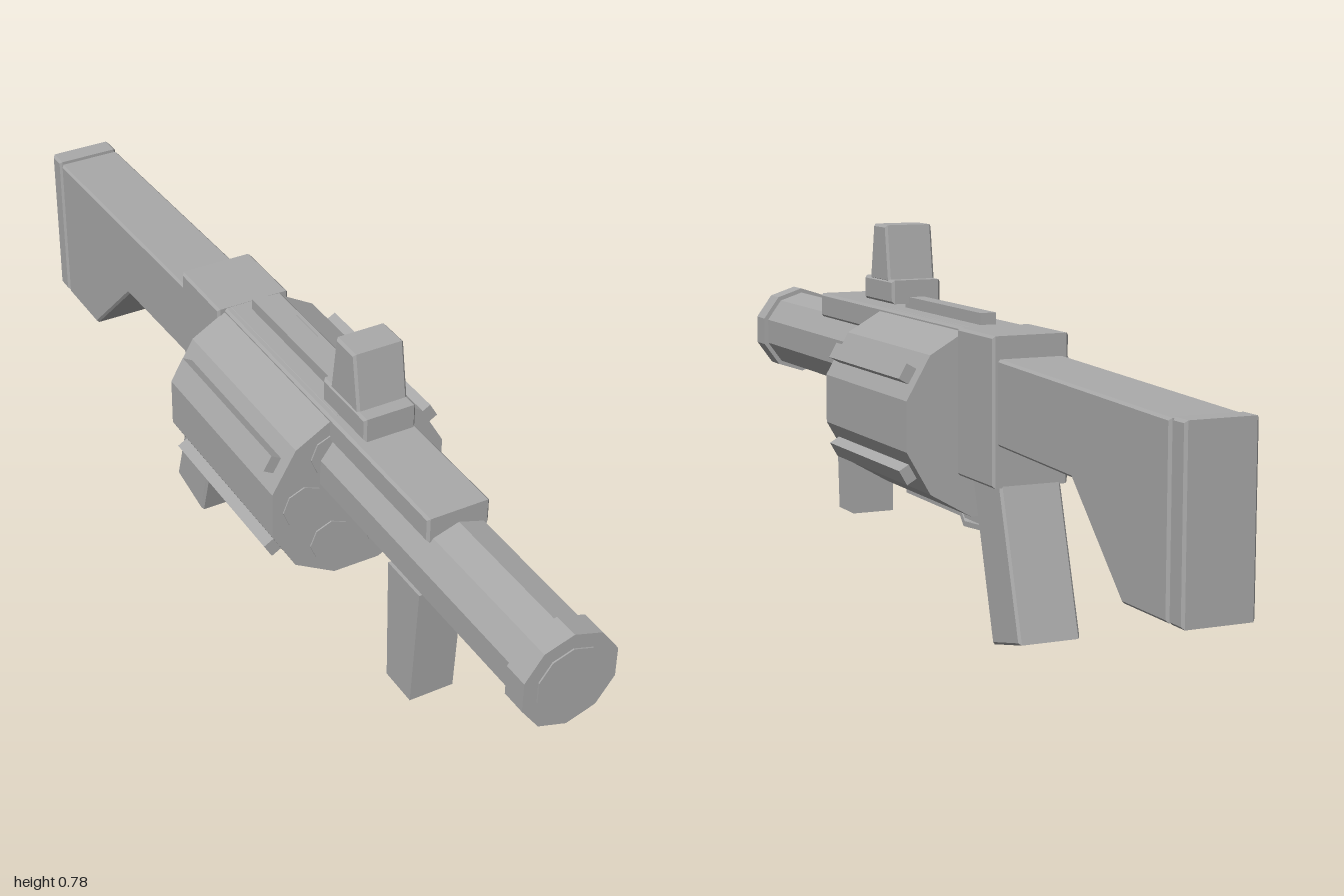
import * as THREE from 'three';

export function createModel() {
  const model = new THREE.Group();
  const grey = new THREE.MeshStandardMaterial({ color: 0xaaaaaa });
  grey.name = 'grey';
  grey.flatShading = true;

  function add(name, geometry, x = 0, y = 0, z = 0) {
    const mesh = new THREE.Mesh(geometry, grey);
    mesh.name = name;
    mesh.position.set(x, y, z);
    model.add(mesh);
    return mesh;
  }

  // Side profile of [z, y] points, extruded across x with a small chamfer
  function plate(name, points, halfWidth, bevel = 0.005) {
    const shape = new THREE.Shape(points.map(([z, y]) => new THREE.Vector2(z, y)));
    const geometry = new THREE.ExtrudeGeometry(shape, {
      depth: 2 * (halfWidth - bevel),
      bevelEnabled: bevel > 0,
      bevelSize: bevel,
      bevelThickness: bevel,
      bevelOffset: -bevel,
      bevelSegments: 1,
    });
    geometry.translate(0, 0, -(halfWidth - bevel)).rotateY(-Math.PI / 2);
    return add(name, geometry);
  }

  const block = (name, z0, z1, y0, y1, halfWidth, bevel) =>
    plate(name, [[z0, y0], [z1, y0], [z1, y1], [z0, y1]], halfWidth, bevel);

  // Faceted cylinder lying along z
  function tube(name, radius, sides, z0, z1, x, y, turn = 0) {
    const geometry = new THREE.CylinderGeometry(radius, radius, z1 - z0, sides, 1, false, turn);
    geometry.rotateX(Math.PI / 2);
    return add(name, geometry, x, y, (z0 + z1) / 2);
  }

  // Barrel and muzzle
  const barrelY = 0.488;
  tube('barrel', 0.09, 10, 0.25, 0.96, 0, barrelY);
  tube('muzzleRing', 0.1, 10, 0.945, 0.997, 0, barrelY);
  tube('bore', 0.07, 10, 0.99, 1, 0, barrelY);

  // Drum with chamber caps and outer ribs
  const drumY = 0.418;
  tube('drum', 0.195, 12, -0.142, 0.29, 0, drumY, Math.PI / 12);
  for (let i = 0; i < 6; i++) {
    const a = (i * Math.PI) / 3;
    tube('chamber', 0.046, 8, 0.285, 0.293, 0.12 * Math.cos(a), drumY + 0.12 * Math.sin(a));
    const b = a + Math.PI / 6;
    const rib = add('drumRib', new THREE.BoxGeometry(0.034, 0.036, 0.375),
      0.194 * Math.cos(b), drumY + 0.194 * Math.sin(b), 0.075);
    rib.rotation.z = b - Math.PI / 2;
  }

  // Receiver and top rail
  block('receiver', -0.305, -0.14, 0.315, 0.607, 0.08);
  block('topRail', -0.15, 0.64, 0.553, 0.606, 0.065);

  // Sight
  block('sightBase', 0.243, 0.4, 0.616, 0.666, 0.055);
  plate('sightHood', [[0.268, 0.66], [0.372, 0.66], [0.352, 0.78], [0.285, 0.78]], 0.053);

  // Stock and butt pad
  plate('stock', [[-0.95, 0.2], [-0.795, 0.2], [-0.605, 0.386], [-0.3, 0.396],
    [-0.3, 0.563], [-0.95, 0.542]], 0.07);
  block('buttPad', -1, -0.957, 0.2, 0.545, 0.07);
  block('buttPadCore', -0.97, -0.94, 0.206, 0.536, 0.064, 0);

  // Grips
  plate('rearGrip', [[-0.272, 0.002], [-0.392, 0.028], [-0.303, 0.325], [-0.178, 0.325]], 0.065);
  plate('foreGrip', [[0.494, 0.12], [0.58, 0.12], [0.596, 0.392], [0.485, 0.392]], 0.048, 0);

  // Trigger guard strap
  plate('triggerGuard', [[-0.01, 0.222], [-0.04, 0.189], [-0.173, 0.199], [-0.192, 0.32],
    [-0.18, 0.32], [-0.164, 0.209], [-0.045, 0.2], [-0.025, 0.222]], 0.02, 0);

  return model;
}
